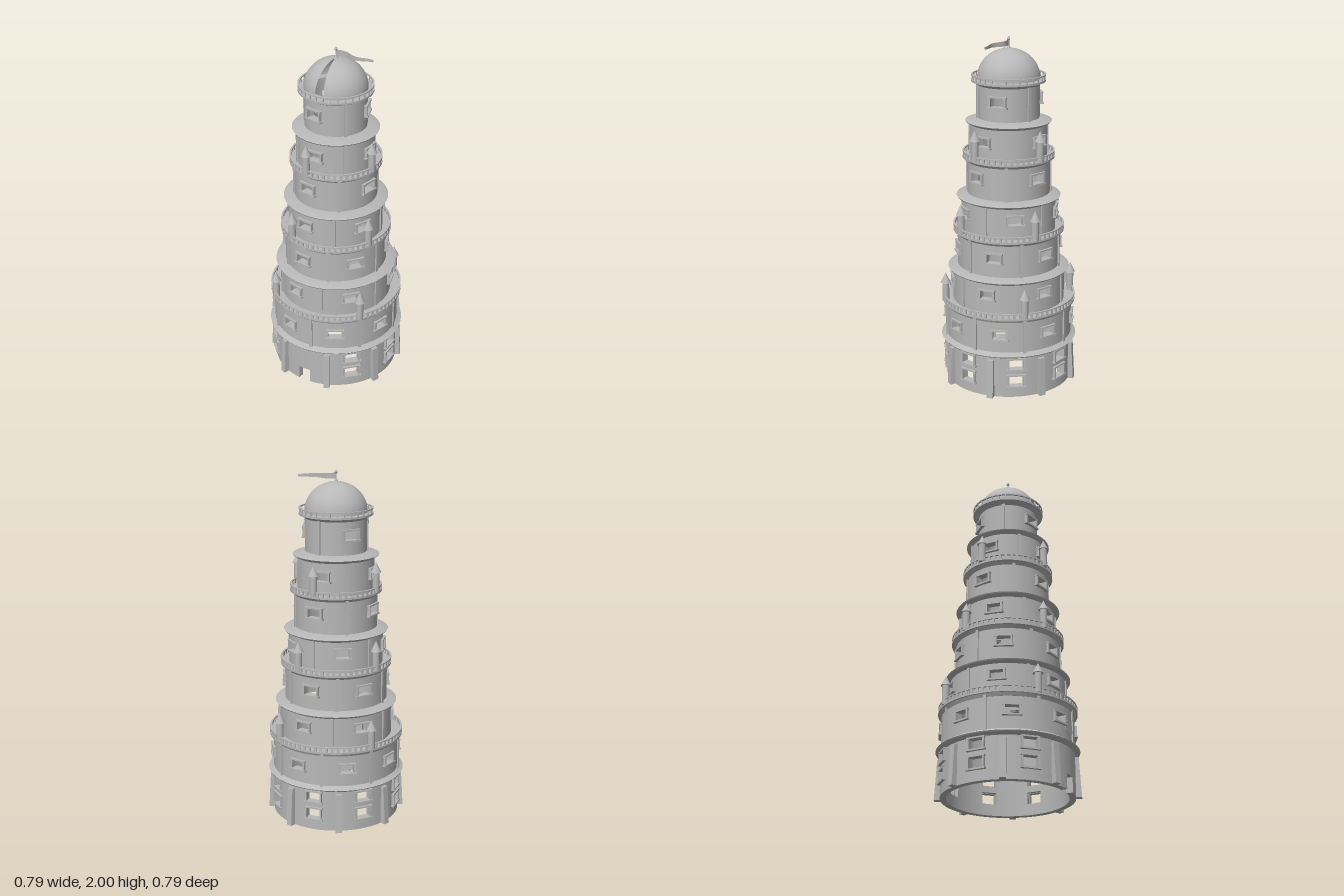
import * as THREE from 'three';
import { toCreasedNormals } from 'three/addons/utils/BufferGeometryUtils.js';

const RAD = Math.PI / 180;
const WALL = 0.035;

// y range, wall radius, number and first angle of windows, openings [bottom, top], ledge kind and radius
const TIERS = [
  { y0: 0, y1: 0.25, r: 0.366, n: 8, a: 0, w: 0.09, rows: [[0.066, 0.132], [0.17, 0.232]], top: 'cornice', R: 0.395 },
  { y0: 0.25, y1: 0.475, r: 0.366, n: 8, a: -15, w: 0.084, rows: [[0.35, 0.403]], top: 'balcony', R: 0.386 },
  { y0: 0.475, y1: 0.67, r: 0.323, n: 6, a: -14, w: 0.084, rows: [[0.567, 0.62]], top: 'cornice', R: 0.35 },
  { y0: 0.67, y1: 0.9, r: 0.294, n: 6, a: -8, w: 0.086, rows: [[0.775, 0.83]], top: 'balcony', R: 0.318 },
  { y0: 0.9, y1: 1.095, r: 0.268, n: 5, a: -8, w: 0.086, rows: [[0.99, 1.043]], top: 'cornice', R: 0.297 },
  { y0: 1.095, y1: 1.325, r: 0.235, n: 4, a: -10, w: 0.09, rows: [[1.205, 1.26]], top: 'balcony', R: 0.26 },
  { y0: 1.325, y1: 1.525, r: 0.217, n: 4, a: -1, w: 0.086, rows: [[1.41, 1.463]], top: 'cornice', R: 0.243 },
  { y0: 1.525, y1: 1.755, r: 0.174, n: 3, a: -12, w: 0.09, rows: [[1.63, 1.685]], top: 'balcony', R: 0.208 },
];

export function createModel() {
  const stone = new THREE.MeshStandardMaterial({ color: 0xb8b8b8 });
  stone.name = 'stone grey';
  const thin = stone.clone();
  thin.name = 'stone grey';
  thin.side = THREE.DoubleSide;
  const model = new THREE.Group();
  model.name = 'tower';

  const add = (parent, name, geo, x = 0, y = 0, z = 0, mat = stone) => {
    const m = new THREE.Mesh(geo, mat);
    m.name = name;
    m.position.set(x, y, z);
    parent.add(m);
    return m;
  };
  const group = (name, parent = model, angle = 0) => {
    const g = new THREE.Group();
    g.name = name;
    g.rotation.y = angle;
    parent.add(g);
    return g;
  };
  // closed ring turned from a counterclockwise (radius, height) profile
  const ring = (pts, seg = 72) => toCreasedNormals(
    new THREE.LatheGeometry([...pts, pts[0]].map(p => new THREE.Vector2(...p)), seg), 0.5);
  const band = (r0, r1, y0, y1) => ring([[r0, y0], [r1, y0], [r1, y1], [r0, y1]]);
  // curved wall block; angles run from +z towards +x
  const sector = (r, a0, a1, y0, y1) => {
    const s = new THREE.Shape();
    const t0 = a0 - Math.PI / 2, t1 = a1 - Math.PI / 2;
    s.absarc(0, 0, r, t0, t1, false);
    s.absarc(0, 0, r - WALL, t1, t0, true);
    const g = new THREE.ExtrudeGeometry(s, {
      depth: y1 - y0, bevelEnabled: false, curveSegments: Math.max(3, Math.ceil((a1 - a0) / 0.08)),
    });
    return toCreasedNormals(g.rotateX(-Math.PI / 2).translate(0, y0, 0), 0.5);
  };

  // raised frame around one opening
  const windowFrame = (parent, angle, r, w, [b, t]) => {
    const g = group('windowFrame', parent, angle);
    const z = r - 0.002, c = (b + t) / 2;
    for (const s of [-1, 1])
      add(g, 'jamb', new THREE.BoxGeometry(0.01, t - b, 0.026), s * w / 2, c, z);
    add(g, 'lintel', new THREE.BoxGeometry(w + 0.016, 0.009, 0.028), 0, t + 0.002, z);
    add(g, 'sill', new THREE.BoxGeometry(w + 0.022, 0.009, 0.034), 0, b - 0.002, z);
  };

  // battered buttress of the ground tier
  const buttressShape = new THREE.Shape([[0.35, 0], [0.398, 0], [0.385, 0.225], [0.35, 0.225]]
    .map(p => new THREE.Vector2(...p)));
  const buttressGeo = new THREE.ExtrudeGeometry(buttressShape, { depth: 0.036, bevelEnabled: false })
    .translate(0, 0, -0.018).rotateY(-Math.PI / 2);

  TIERS.forEach((t, i) => {
    const tier = group('tier' + (i + 1));
    const step = 2 * Math.PI / t.n;
    for (let k = 0; k < t.n; k++) {
      const a = t.a * RAD + k * step;
      const door = i === 0 && k === 0;
      const w = door ? 0.074 : t.w;
      const h = Math.asin(w / 2 / t.r), hNext = Math.asin(t.w / 2 / t.r);
      const nextH = i === 0 && k === t.n - 1 ? Math.asin(0.037 / t.r) : hNext;
      add(tier, 'wall', sector(t.r, a + h, a + step - nextH, t.y0, t.y1));
      // wall above and below the openings
      let y = t.y0;
      for (const row of door ? [[0, 0.085]] : t.rows) {
        if (row[0] > y) add(tier, 'wallBay', sector(t.r, a - h, a + h, y, row[0]));
        y = row[1];
        if (!door) windowFrame(tier, a, t.r, w, row);
      }
      add(tier, 'wallBay', sector(t.r, a - h, a + h, y, t.y1));
      // pier between windows
      const pier = group('pier', tier, a + step / 2);
      if (i === 0) add(pier, 'buttress', buttressGeo);
      else add(pier, 'pilaster', new THREE.BoxGeometry(0.018, t.y1 - t.y0 - 0.02, 0.016),
        0, (t.y0 + t.y1) / 2, t.r);
    }

    // ledge joins this tier to the next one
    const next = TIERS[i + 1];
    const rIn = (next ? next.r : t.r) - WALL;
    if (t.top === 'cornice') {
      add(tier, 'cornice', ring([[rIn, t.y1 - 0.006], [t.r, t.y1 - 0.012], [t.R - 0.004, t.y1],
        [t.R, t.y1 + 0.006], [t.R - 0.008, t.y1 + 0.009], [next.r, t.y1 + 0.024], [rIn, t.y1 + 0.024]]));
    } else {
      const y = t.y1, last = !next;
      add(tier, 'balconyDeck', band(rIn, t.R, y - 0.004, y + 0.007));
      add(tier, 'balconyMoulding', ring([[t.r - 0.005, y - 0.022], [t.r + 0.002, y - 0.022],
        [t.R - 0.008, y - 0.003], [t.r - 0.005, y - 0.003]]));
      add(tier, 'handrail', band(t.R - 0.01, t.R, y + 0.029, y + 0.036));
      const posts = last ? 32 : Math.round(t.R * 190);
      const geo = new THREE.BoxGeometry(last ? 0.006 : 0.014, 0.024, 0.006);
      for (let p = 0; p < posts; p++)
        add(group('baluster', tier, p / posts * 2 * Math.PI), 'post', geo, 0, y + 0.018, t.R - 0.005);
    }
  });

  // small turrets on the three lower balconies
  const turretBody = new THREE.CylinderGeometry(0.02, 0.02, 0.115, 20);
  const turretRoof = new THREE.ConeGeometry(0.029, 0.06, 20);
  for (const [r, a, y] of [[0.374, 52, 0.48], [0.305, 67, 0.905], [0.253, 81, 1.335]])
    for (let k = 0; k < 4; k++) {
      const g = group('turret', model, (a + 90 * k) * RAD);
      add(g, 'turretBody', turretBody, 0, y + 0.0575, r);
      add(g, 'turretRoof', turretRoof, 0, y + 0.142, r);
    }

  // round plaque over the door
  add(model, 'plaque', new THREE.CylinderGeometry(0.043, 0.043, 0.008, 32).rotateX(Math.PI / 2), 0, 0.345, 0.364);

  // dome with an open slit facing front
  const slit = 8.5 * RAD;
  add(model, 'dome', new THREE.SphereGeometry(0.176, 64, 24, -Math.PI / 2 + Math.PI + slit,
    2 * Math.PI - 2 * slit, 0, Math.PI / 2).scale(1, 0.95, 1), 0, 1.765, 0, thin);

  // finial and pole
  add(model, 'finialBase', new THREE.CylinderGeometry(0.006, 0.014, 0.016, 16), 0, 1.937, 0);
  add(model, 'pole', new THREE.CylinderGeometry(0.0035, 0.0035, 0.07, 10), 0, 1.96, 0);
  add(model, 'finialBall', new THREE.SphereGeometry(0.009, 14, 10), 0, 1.983, 0);
  add(model, 'finialTip', new THREE.ConeGeometry(0.004, 0.014, 10), 0, 1.993, 0);

  // waving pennant, tapering towards the tip
  const flag = new THREE.PlaneGeometry(1, 1, 24, 1);
  const p = flag.attributes.position;
  for (let i = 0; i < p.count; i++) {
    const u = p.getX(i) + 0.5, v = p.getY(i);
    p.setXYZ(i, 0.003 + u * 0.217, 1.962 - u * 0.006 + v * (0.034 - 0.02 * u), -0.011 * Math.sin(u * 2.6 * Math.PI));
  }
  flag.computeVertexNormals();
  add(model, 'pennant', flag, 0, 0, 0, thin);

  return model;
}
